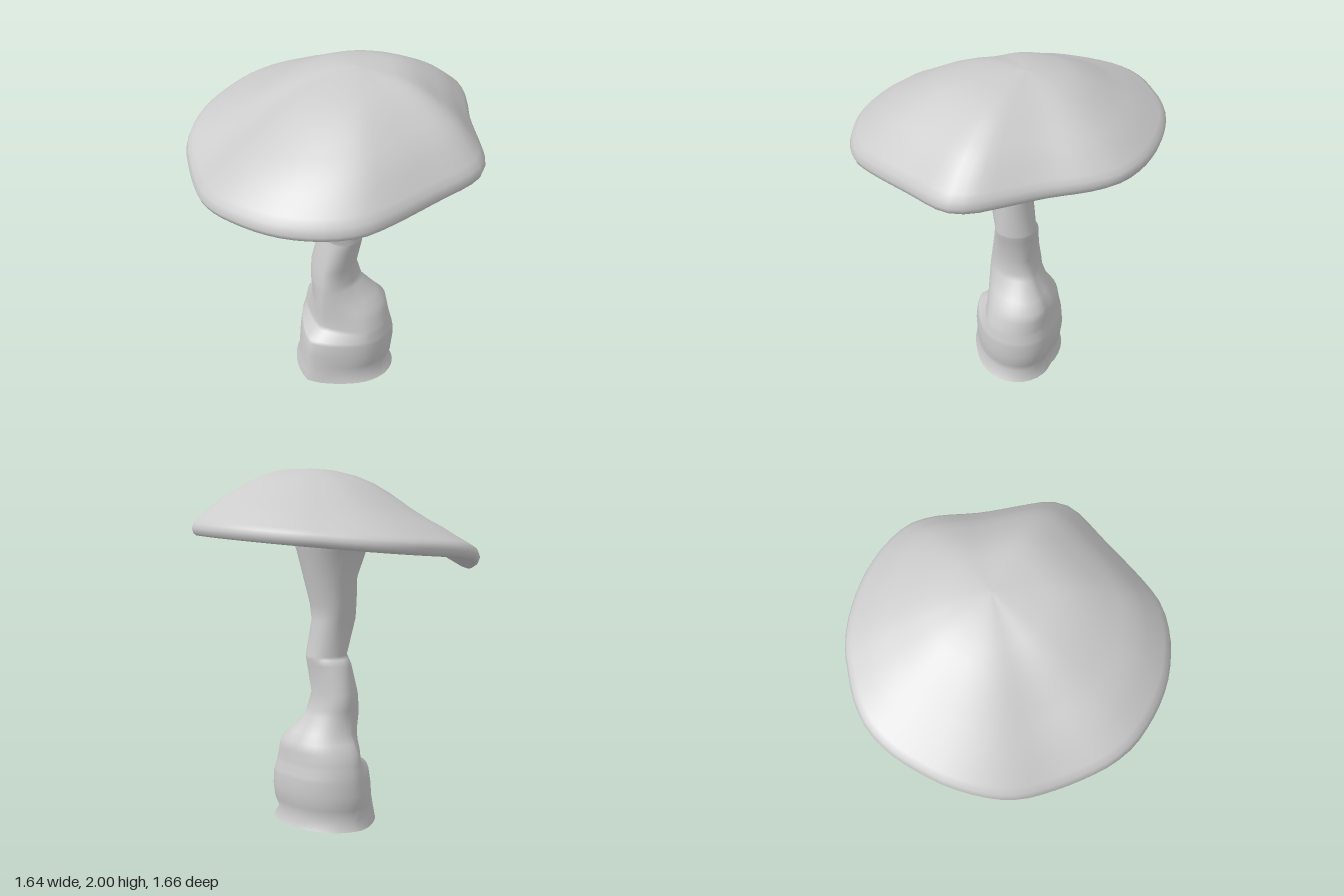
import * as THREE from 'three';

const SEG = 72;

// Skins a list of closed rings (arrays of Vector3) with smooth normals
function skin(rings, name) {
  const n = rings[0].length, pos = [], idx = [];
  for (const ring of rings) for (const p of ring) pos.push(p.x, p.y, p.z);
  for (let j = 0; j < rings.length - 1; j++) {
    for (let i = 0; i < n; i++) {
      const k = (i + 1) % n;
      const a = j * n + i, b = j * n + k, c = a + n, d = b + n;
      idx.push(a, c, b, b, c, d);
    }
  }
  const g = new THREE.BufferGeometry();
  g.setAttribute('position', new THREE.Float32BufferAttribute(pos, 3));
  g.setIndex(idx);
  g.computeVertexNormals();
  const mesh = new THREE.Mesh(g, new THREE.MeshStandardMaterial({ color: 0xcccccc, side: THREE.DoubleSide }));
  mesh.name = name;
  return mesh;
}

// Cap: irregular outline (x, z), swept inward along a domed and a hollow profile
function createCap() {
  const outline = [
    [0.82, -0.17], [0.79, 0.02], [0.74, 0.34], [0.70, 0.48], [0.62, 0.59], [0.53, 0.67],
    [0.40, 0.75], [0.26, 0.80], [0.12, 0.825], [0, 0.83], [-0.14, 0.80], [-0.27, 0.74],
    [-0.45, 0.64], [-0.56, 0.57], [-0.64, 0.49], [-0.71, 0.38], [-0.77, 0.24], [-0.80, 0.12],
    [-0.82, 0], [-0.825, -0.11], [-0.80, -0.26], [-0.73, -0.40], [-0.66, -0.49], [-0.58, -0.585],
    [-0.49, -0.66], [-0.38, -0.725], [-0.22, -0.79], [-0.09, -0.82], [0.02, -0.83], [0.17, -0.81],
    [0.29, -0.74], [0.47, -0.57], [0.69, -0.40], [0.76, -0.34], [0.81, -0.26],
  ].map(([x, z]) => new THREE.Vector3(x, 0, z));
  const rim = new THREE.CatmullRomCurve3(outline, true).getSpacedPoints(SEG).slice(0, SEG);

  // The rim tilts down to the front and droops at the front right
  const rimY = (p) =>
    1.578 - 0.097 * p.z - 0.075 * Math.exp(-((p.x + 0.37) ** 2 + (p.z - 0.66) ** 2) / 0.09);
  const apex = new THREE.Vector3(0.04, 0, -0.13);
  const ring = (t, height) => rim.map((p) => {
    const q = apex.clone().lerp(p, t);
    q.y = height(rimY(p), p);
    return q;
  });

  const under = [[0, 1], [0.15, 0.97], [0.3, 0.9], [0.5, 0.7], [0.7, 0.42], [0.85, 0.17], [0.94, 0.03], [0.97, 0]];
  const top = [[0.985, 0.1], [0.95, 0.16], [0.85, 0.3], [0.78, 0.4], [0.7, 0.49], [0.6, 0.61], [0.5, 0.73],
    [0.4, 0.83], [0.3, 0.905], [0.15, 0.975], [0, 1]];
  const rings = [
    ...under.map(([t, h]) => ring(t, (y) => y + (1.78 - y) * h)),
    ring(0.99, (y) => y + 0.012),
    ring(1, (y) => y + 0.038),
    ...top.map(([t, h]) => ring(t, (y, p) => {
      // Fuller towards the back left, hollower towards the right
      const bulge = 0.22 * t * Math.sin(Math.PI * t) * ((p.x - 0.2 * p.z) / 0.82 + 0.35);
      return y + 0.03 + (1.97 - y) * (h + bulge);
    })),
  ];
  return skin(rings, 'cap');
}

// Stem: rows of [y, right, left, front, back] extents around a fixed axis, open at the foot
function createStem() {
  const rows = [
    [0, -0.31, 0.29, 0.24, -0.32], [0.06, -0.28, 0.255, 0.235, -0.295], [0.12, -0.295, 0.275, 0.225, -0.315],
    [0.2, -0.3, 0.28, 0.23, -0.325], [0.28, -0.29, 0.28, 0.215, -0.32], [0.3, -0.29, 0.275, 0.205, -0.315],
    [0.345, -0.28, 0.265, 0.135, -0.305], [0.37, -0.275, 0.26, 0.125, -0.3], [0.43, -0.26, 0.235, 0.125, -0.295],
    [0.48, -0.225, 0.21, 0.125, -0.285], [0.53, -0.19, 0.17, 0.125, -0.245], [0.62, -0.175, 0.11, 0.12, -0.19],
    [0.66, -0.18, 0.105, 0.115, -0.18], [0.75, -0.18, 0.09, 0.105, -0.15], [0.91, -0.14, 0.13, 0.07, -0.17],
    [0.945, -0.115, 0.135, 0.06, -0.175], [0.96, -0.09, 0.14, 0.06, -0.175], [1.16, -0.105, 0.12, 0.125, -0.135],
    [1.25, -0.125, 0.13, 0.125, -0.145], [1.4, -0.135, 0.17, 0.125, -0.18], [1.55, -0.17, 0.21, 0.185, -0.215],
    [1.65, -0.22, 0.25, 0.22, -0.245], [1.78, -0.24, 0.27, 0.24, -0.26],
  ];
  const cx = 0.015, cz = -0.04;
  const { smoothstep } = THREE.MathUtils;
  const ring = ([y, right, left, front, back]) => {
    // The bulb swells at the back left and is cut in along the front
    const bulb = 1 - smoothstep(y, 0.45, 0.65);
    const backLeft = 0.17 * (1 - smoothstep(y, 0.53, 0.65)) + 0.06 * smoothstep(y, 0.4, 0.5) * bulb;
    const frontRight = -bulb * (0.1 + 0.07 * smoothstep(y, 0.05, 0.2));
    const frontLeft = -0.16 * bulb;
    return Array.from({ length: 40 }, (_, i) => {
      const a = (i / 40) * Math.PI * 2, c = Math.cos(a), s = Math.sin(a);
      const corner = s > 0 ? (c > 0 ? frontLeft : frontRight) : (c > 0 ? backLeft : 0);
      const k = 1 + Math.abs(Math.sin(2 * a)) * corner;
      return new THREE.Vector3(
        cx + k * Math.abs(c) * ((c > 0 ? left : right) - cx), y,
        cz + k * Math.abs(s) * ((s > 0 ? front : back) - cz));
    });
  };
  return skin(rows.map(ring), 'stem');
}

export function createModel() {
  const model = new THREE.Group();
  model.name = 'mushroom';
  model.add(createCap(), createStem());
  return model;
}
